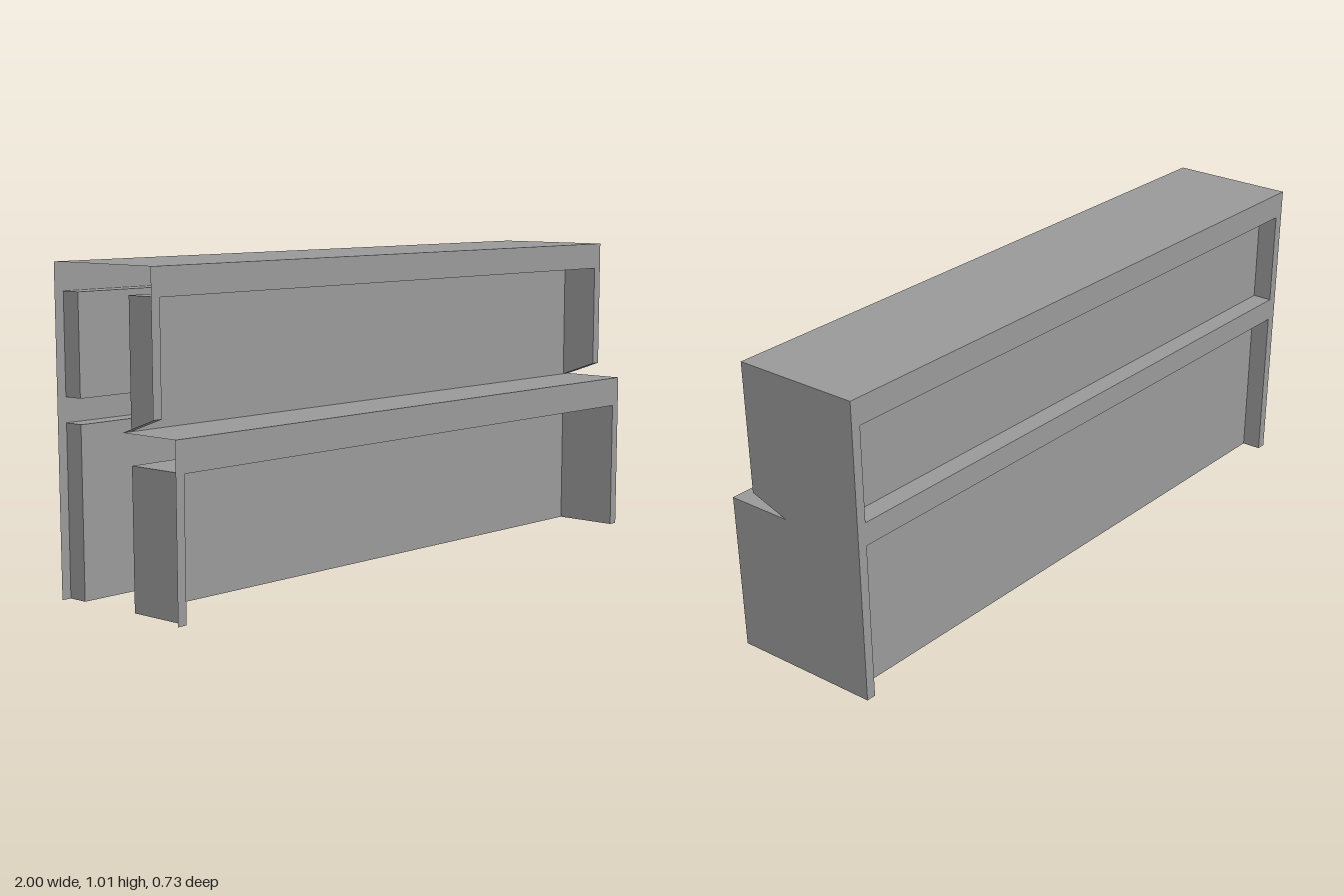
import * as THREE from 'three';

const W = 1, IN = 0.97;                // outer and recess half widths
const H = 1.01, HEAD = 0.923;          // top and upper recess head
const LEDGE = 0.533, LOWHEAD = 0.434;  // ledge and lower recess head
const BACK = -0.242, FRONT = 0.242, UPPER = 0.157;
const CORE = 0.033, BACKPANEL = -0.179, NOTCH = 0.58;

const material = new THREE.MeshStandardMaterial({ color: 0x9a9a9a, side: THREE.DoubleSide });
// The whole body is skewed: depth shifts with x
const skew = new THREE.Matrix4().set(1, 0, 0, 0, 0, 1, 0, 0, 0.121, 0, 1, 0, 0, 0, 0, 1);

const points = list => list.map(([a, b]) => new THREE.Vector2(a, b));
const rect = (x, y0, y1) => [[-x, y0], [x, y0], [x, y1], [-x, y1]];

export function createModel() {
  const model = new THREE.Group();
  model.name = 'cabinetShell';

  const add = (name, geometry) => {
    const mesh = new THREE.Mesh(geometry.applyMatrix4(skew), material);
    mesh.name = name;
    model.add(mesh);
  };
  // Upright sheet facing front (1) or back (-1)
  const sheet = (name, outline, z, facing = 1, holes = []) => {
    const shape = new THREE.Shape(points(outline));
    holes.forEach(h => shape.holes.push(new THREE.Path(points(h))));
    const g = new THREE.ShapeGeometry(shape);
    if (facing < 0) g.rotateY(Math.PI);
    add(name, g.translate(0, 0, z));
  };
  // Level sheet facing up (1) or down (-1)
  const level = (name, halfWidth, y, z0, z1, facing) => add(name,
    new THREE.PlaneGeometry(2 * halfWidth, z1 - z0)
      .rotateX(-facing * Math.PI / 2).translate(0, y, (z0 + z1) / 2));
  // End sheet with a [z, y] outline, facing +x (1) or -x (-1)
  const end = (name, outline, x, facing) => add(name,
    new THREE.ShapeGeometry(new THREE.Shape(points(outline.map(([z, y]) => [-facing * z, y]))))
      .rotateY(facing * Math.PI / 2).translate(x, 0, 0));
  // Outline of a frame that is open at its foot
  const arch = (foot, top, head) => [[-W, foot], [-IN, foot], [-IN, head], [IN, head],
    [IN, foot], [W, foot], [W, top], [-W, top]];

  // Top and ledge
  level('top', W, H, BACK, UPPER, 1);
  level('ledge', W, LEDGE, CORE, FRONT, 1);

  // Front frames and their recesses
  sheet('upperFrontFrame', arch(NOTCH, H, HEAD), UPPER);
  sheet('lowerFrontFrame', arch(0, LEDGE, LOWHEAD), FRONT);
  sheet('upperFrontPanel', rect(IN, LEDGE, HEAD), CORE);
  sheet('lowerFrontPanel', rect(IN, 0, LOWHEAD), CORE);
  level('upperFrontSoffit', IN, HEAD, CORE, UPPER, -1);
  level('lowerFrontSoffit', IN, LOWHEAD, CORE, FRONT, -1);

  // Back frame with one closed recess and one open at the foot
  sheet('backFrame', arch(0, H, LEDGE), BACK, -1, [rect(IN, 0.61, HEAD)]);
  sheet('upperBackPanel', rect(IN, 0.61, HEAD), BACKPANEL, -1);
  sheet('lowerBackPanel', rect(IN, 0, LEDGE), BACKPANEL, -1);
  level('upperBackSill', IN, 0.61, BACK, BACKPANEL, 1);
  level('upperBackSoffit', IN, HEAD, BACK, BACKPANEL, -1);
  level('lowerBackSoffit', IN, LEDGE, BACK, BACKPANEL, -1);

  // Recess cheeks and the sloping undersides of the upper posts
  const box = (z0, z1, y0, y1) => [[z0, y0], [z1, y0], [z1, y1], [z0, y1]];
  const slope = Math.hypot(UPPER - CORE, NOTCH - LEDGE);
  for (const s of [-1, 1]) {
    end('upperFrontCheek', [[CORE, LEDGE], [UPPER, NOTCH], [UPPER, HEAD], [CORE, HEAD]], s * IN, -s);
    end('lowerFrontCheek', box(CORE, FRONT, 0, LOWHEAD), s * IN, -s);
    end('upperBackCheek', box(BACK, BACKPANEL, 0.61, HEAD), s * IN, -s);
    end('lowerBackCheek', box(BACK, BACKPANEL, 0, LEDGE), s * IN, -s);
    add('postUnderside', new THREE.PlaneGeometry(W - IN, slope)
      .rotateX(Math.PI / 2 - Math.atan2(NOTCH - LEDGE, UPPER - CORE))
      .translate(s * (W + IN) / 2, (NOTCH + LEDGE) / 2, (UPPER + CORE) / 2));
  }

  // Notched end panel; the opposite end and the bottom stay open
  end('leftEndPanel', [[BACK, 0], [FRONT, 0], [FRONT, LEDGE], [CORE, LEDGE],
    [UPPER, NOTCH], [UPPER, H], [BACK, H]], W, 1);

  return model;
}
